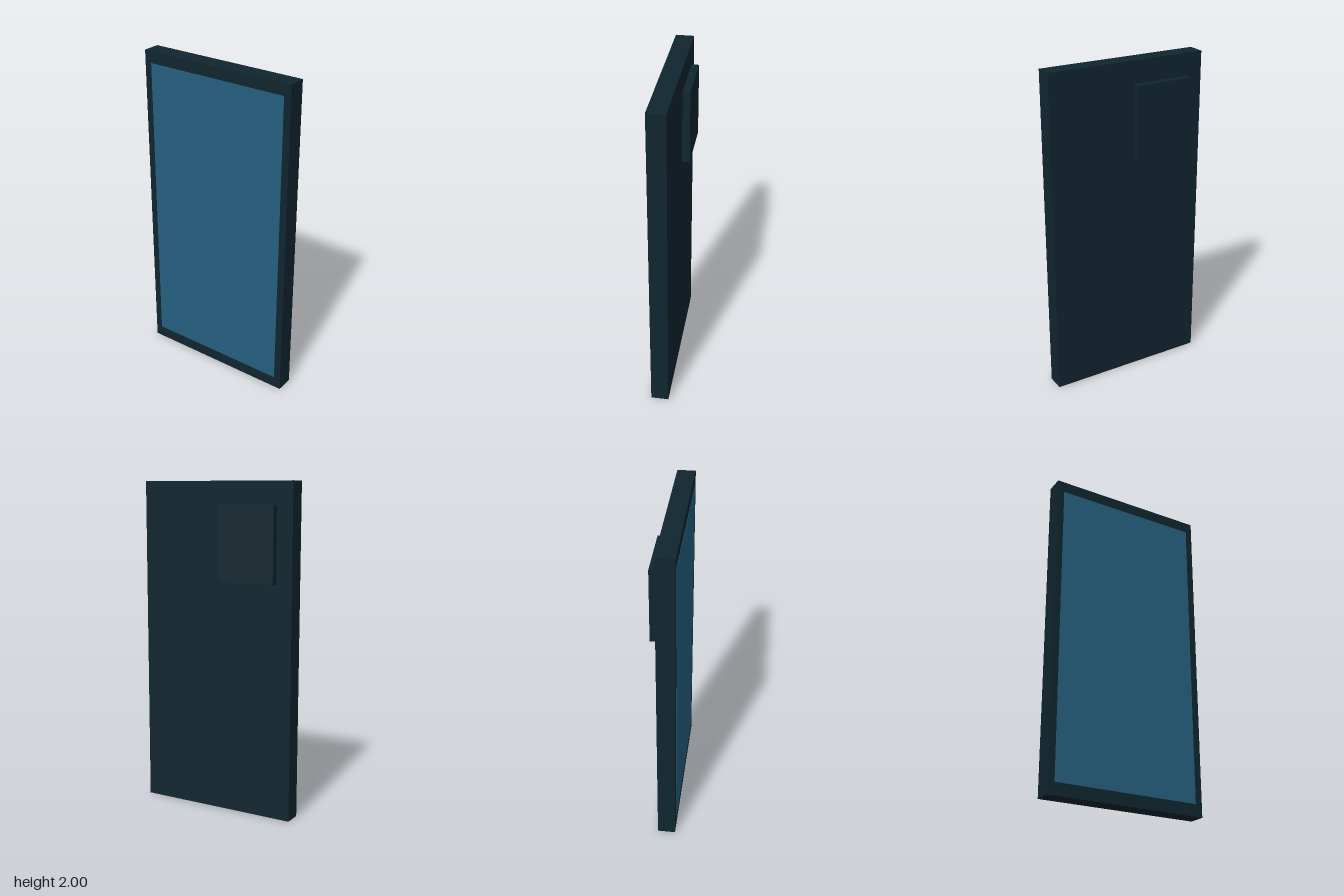
import * as THREE from 'three';

const bodyMaterial = new THREE.MeshStandardMaterial({ color: 0x10252f });
bodyMaterial.name = 'dark casing';
const screenMaterial = new THREE.MeshStandardMaterial({ color: 0x256080 });
screenMaterial.name = 'blue glass';

// Box given by its lower and upper corners
function box(name, material, [x0, y0, z0], [x1, y1, z1]) {
  const mesh = new THREE.Mesh(new THREE.BoxGeometry(x1 - x0, y1 - y0, z1 - z0), material);
  mesh.position.set((x0 + x1) / 2, (y0 + y1) / 2, (z0 + z1) / 2);
  mesh.name = name;
  return mesh;
}

export function createModel() {
  const phone = new THREE.Group();
  phone.name = 'phone';
  phone.add(
    // Slab casing
    box('body', bodyMaterial, [-0.5, 0, -0.033], [0.5, 2, 0.075]),
    // Thin display plate, just proud of the front
    box('screen', screenMaterial, [-0.456, 0.074, 0.072], [0.456, 1.928, 0.077]),
    // Raised camera block on the back
    box('cameraBump', bodyMaterial, [-0.4, 1.413, -0.078], [-0.037, 1.864, -0.033]),
  );
  return phone;
}
